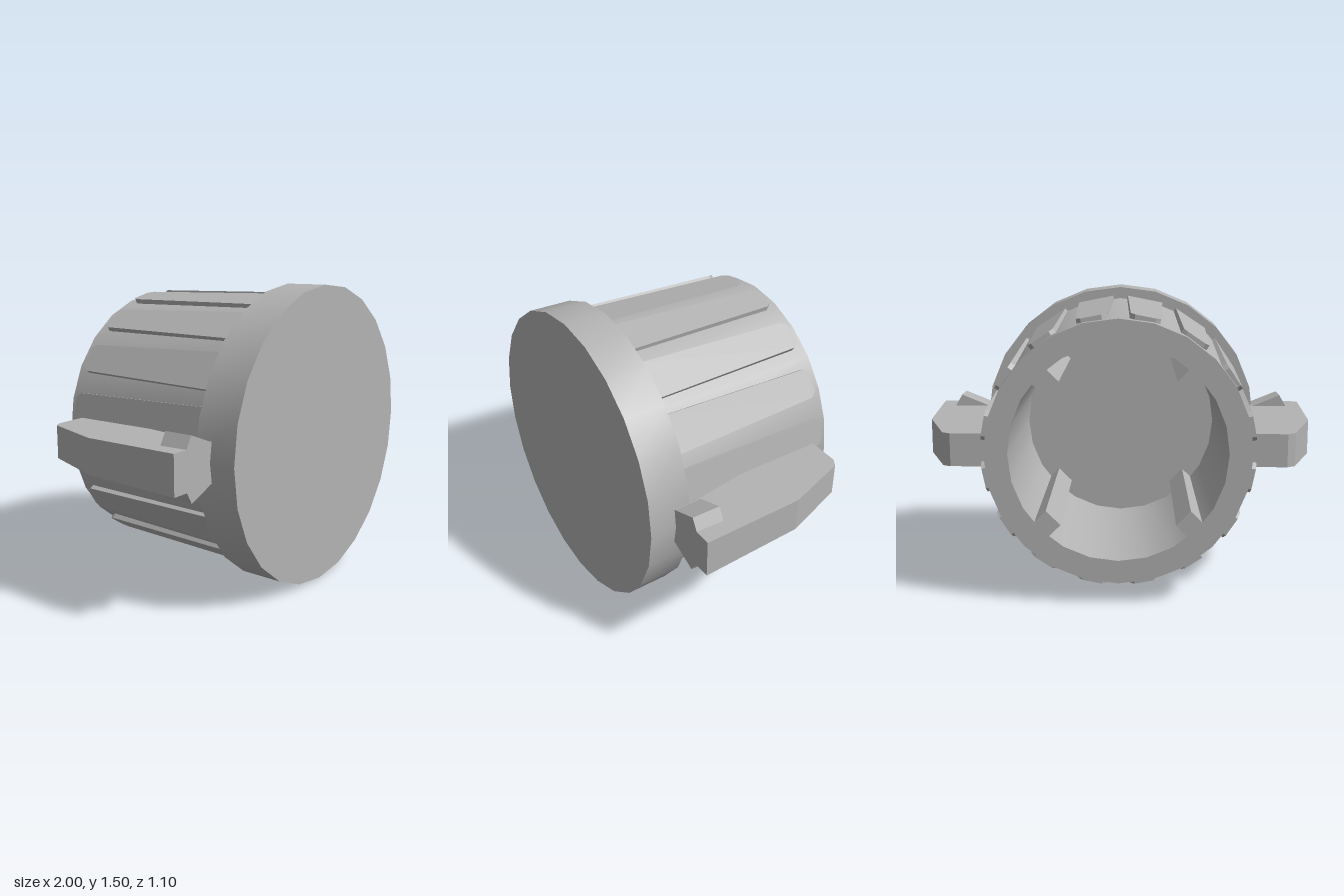
import * as THREE from 'three';
import { toCreasedNormals } from 'three/addons/utils/BufferGeometryUtils.js';

const plastic = new THREE.MeshStandardMaterial({ color: 0xb3b3b3 });
plastic.name = 'greyPlastic';

function mesh(name, geometry) {
  const m = new THREE.Mesh(geometry, plastic);
  m.name = name;
  return m;
}

// Turned part around the z axis; points are [radius, z], with z rising on the outside
function turned(name, points) {
  const g = new THREE.LatheGeometry(points.map(p => new THREE.Vector2(...p)), 24);
  g.rotateX(Math.PI / 2);
  return mesh(name, toCreasedNormals(g, 0.5));
}

function outline(points) {
  return new THREE.Shape(points.map(p => new THREE.Vector2(...p)));
}

// Slab with its outline in x and z, and its thickness along y from -depth to 0
function slab(points, depth) {
  const g = new THREE.ExtrudeGeometry(outline(points), { depth, bevelEnabled: false });
  return g.rotateX(Math.PI / 2);
}

// Moves every vertex height by a rule of its height and z
function reshapeY(g, rule) {
  const p = g.attributes.position;
  for (let i = 0; i < p.count; i++) p.setY(i, rule(p.getY(i), p.getZ(i)));
  g.computeVertexNormals();
  return g;
}

export function createModel() {
  const model = new THREE.Group();
  model.name = 'ribbedPlug';
  const plug = new THREE.Group();
  plug.name = 'plug';
  plug.position.y = 0.75;
  model.add(plug);

  // Closed front cap and hollow tapered sleeve, open at the back
  plug.add(turned('frontFlange', [[0, 0.335], [0.745, 0.335], [0.75, 0.55], [0, 0.55]]));
  plug.add(turned('sleeve', [[0, 0.42], [0.515, 0.42], [0.53, -0.55], [0.645, -0.55], [0.685, 0.34]]));

  // Sixteen raised grip pads, narrowing to a chamfered back end
  const pad = reshapeY(
    slab([[-0.097, 0.34], [-0.073, -0.48], [-0.05, -0.51], [0.05, -0.51], [0.073, -0.48], [0.097, 0.34]], 0.06),
    (y, z) => y + 0.664 + (z + 0.51) * 0.034
  );
  for (let i = 0; i < 16; i++) {
    const m = mesh('gripPad', pad);
    m.rotation.z = (i + 0.5) * Math.PI / 8;
    plug.add(m);
  }

  // Four keys inside the bore
  const key = new THREE.BoxGeometry(0.1, 0.1, 0.97).translate(0, 0.495, -0.065);
  for (let i = 0; i < 4; i++) {
    const m = mesh('innerKey', key);
    m.rotation.z = (i + 0.5) * Math.PI / 2;
    plug.add(m);
  }

  // Side wings, slightly thinner toward the back
  const wing = reshapeY(
    slab([[0.62, -0.455], [0.82, -0.455], [0.86, -0.43], [0.975, -0.11], [1, 0.415],
      [0.73, 0.415], [0.728, 0.29], [0.68, 0.02], [0.62, 0]], 2),
    (y, z) => (y + 1) * (0.09 + z * 0.018)
  );
  // Bevelled cross lug at the front of each wing
  const lug = new THREE.ExtrudeGeometry(
    outline([[0.72, -0.09], [0.88, -0.155], [0.915, -0.095], [0.915, 0.095], [0.88, 0.155], [0.72, 0.09]]),
    { depth: 0.145, bevelEnabled: false }
  ).translate(0, 0, 0.27);
  for (const [name, turn] of [['leftWing', 0], ['rightWing', Math.PI]]) {
    const side = new THREE.Group();
    side.name = name;
    side.add(mesh('fin', wing), mesh('lug', lug));
    side.rotation.z = turn;
    plug.add(side);
  }
  return model;
}
